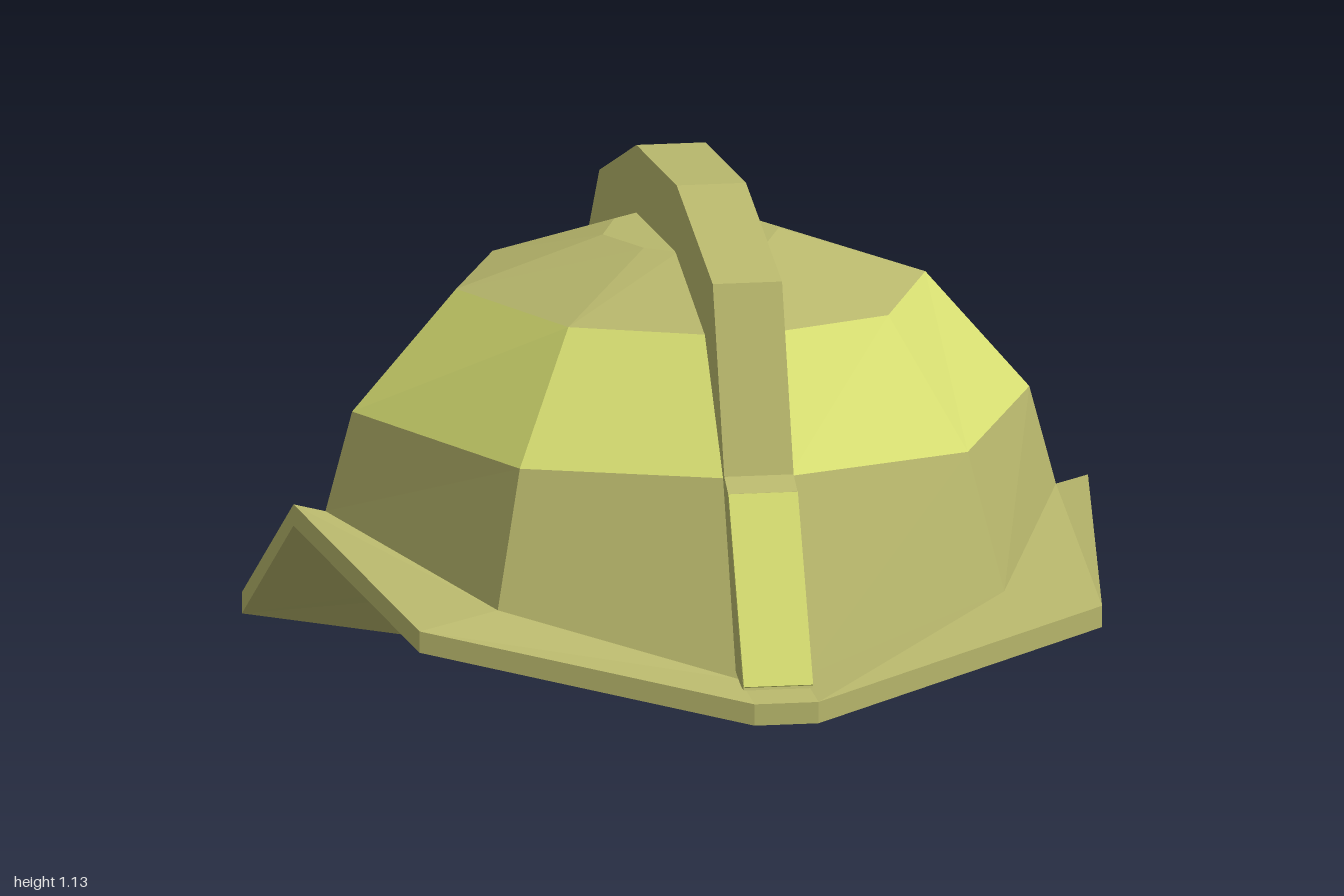
import * as THREE from 'three';

const olive = new THREE.MeshStandardMaterial({ name: 'olive', color: 0xb8b76c });
const yellow = new THREE.MeshStandardMaterial({ name: 'yellow', color: 0xd8df72 });
olive.flatShading = yellow.flatShading = true;

// Full ring from its +x half, listed front to back as [x, y, z]
const ring = half => [...half, ...half.map(([x, y, z]) => [-x, y, z]).reverse()];
const point = (y, z) => Array.from({ length: 10 }, () => [0, y, z]);

// Skin between successive rings, inner underside first and crown last
function loft(name, rings, material) {
  const pos = [];
  for (let r = 0; r + 1 < rings.length; r++) {
    const a = rings[r], b = rings[r + 1];
    for (let i = 0; i < a.length; i++) {
      const j = (i + 1) % a.length;
      pos.push(...a[i], ...a[j], ...b[j], ...a[i], ...b[j], ...b[i]);
    }
  }
  const geo = new THREE.BufferGeometry();
  geo.setAttribute('position', new THREE.Float32BufferAttribute(pos, 3));
  geo.computeVertexNormals();
  const mesh = new THREE.Mesh(geo, material);
  mesh.name = name;
  return mesh;
}

export function createModel() {
  const group = new THREE.Group();
  group.name = 'helmet';

  // Brim outline and the rings of the dome
  const brimTop = ring([[0.06, 0.295, 1], [0.64, 0.405, 0.75], [0.745, 0.515, 0.07], [0.685, 0.19, -0.74], [0.06, 0.04, -1]]);
  const brimBottom = brimTop.map(([x, y, z]) => [x, y - 0.04, z]);
  const lining = ring([[0.06, 0.285, 0.85], [0.46, 0.373, 0.64], [0.66, 0.474, 0.07], [0.45, 0.238, -0.45], [0.06, 0.217, -0.57]]);
  const base = ring([[0.06, 0.313, 0.85], [0.475, 0.42, 0.655], [0.685, 0.5, 0.07], [0.475, 0.265, -0.53], [0.06, 0.2, -0.66]]);
  const low = ring([[0.06, 0.665, 0.722], [0.42, 0.67, 0.585], [0.635, 0.685, 0.07], [0.42, 0.675, -0.445], [0.06, 0.67, -0.59]]);
  const high = ring([[0.06, 0.9, 0.545], [0.3, 0.902, 0.435], [0.44, 0.908, 0.07], [0.3, 0.902, -0.3], [0.06, 0.9, -0.405]]);
  const crown = ring([[0.06, 1, 0.26], [0.115, 1, 0.21], [0.165, 1, 0.07], [0.115, 1, -0.075], [0.06, 1, -0.125]]);

  group.add(
    loft('lining', [point(0.6, 0.07), lining], olive),
    loft('brim', [lining, brimBottom, brimTop, base], olive),
    loft('domeLowerBand', [base, low], olive),
    loft('domeMiddleBand', [low, high], yellow),
    loft('domeCrown', [high, crown, point(1, 0.07)], olive),
  );

  // Crest arching from front to back, drawn as [z, y]
  const outline = [
    [0.92, 0.3], [0.77, 0.645], [0.732, 0.67], [0.62, 1.01], [0.27, 1.127], [-0.12, 1.127], [-0.48, 1.01], [-0.7, 0.74], [-0.82, 0.11],
    [-0.6, 0.23], [-0.5, 0.6], [-0.3, 0.85], [0, 0.95], [0.42, 0.85], [0.66, 0.6], [0.8, 0.34],
  ];
  const shape = new THREE.Shape(outline.map(([z, y]) => new THREE.Vector2(z, y)));
  const crestGeo = new THREE.ExtrudeGeometry(shape, { depth: 0.13, bevelEnabled: false });
  crestGeo.rotateY(-Math.PI / 2).translate(0.065, 0, 0);
  const crest = new THREE.Mesh(crestGeo, olive);
  crest.name = 'crest';
  group.add(crest);

  // Thin bright plate on the lower front of the crest
  const plate = new THREE.Mesh(new THREE.BoxGeometry(0.13, 0.365, 0.006), yellow);
  plate.name = 'frontPlate';
  plate.position.set(0, 0.4775, 0.845);
  plate.rotation.x = -Math.atan2(0.15, 0.335);
  group.add(plate);

  return group;
}
